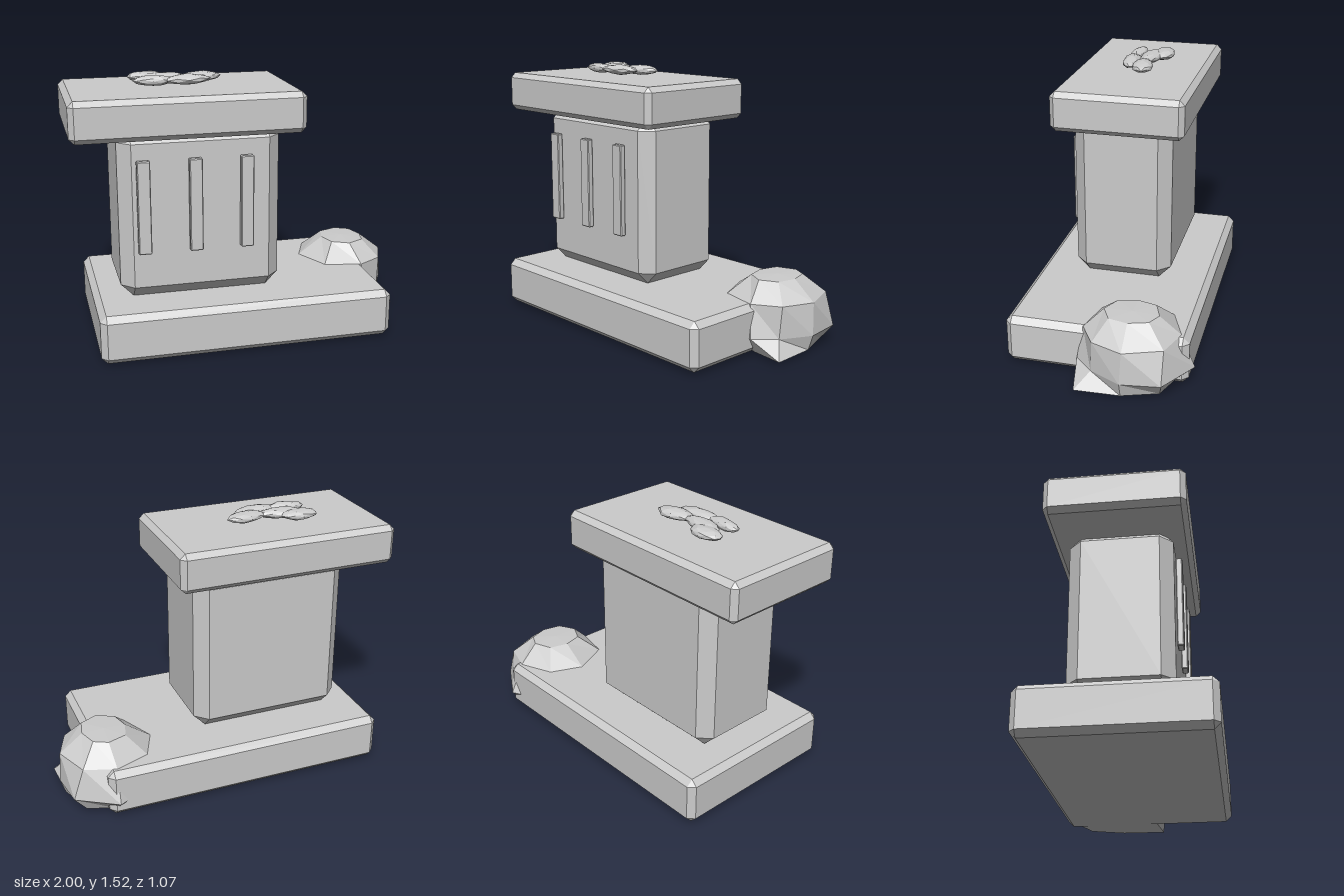
import * as THREE from 'three';
import { ConvexGeometry } from 'three/addons/geometries/ConvexGeometry.js';

const stone = new THREE.MeshStandardMaterial({ color: 0xcccccc, flatShading: true });

// Box between two corners with all edges chamfered by c
function chamferedBox(name, min, max, c) {
  const mid = min.map((v, i) => (v + max[i]) / 2);
  const half = min.map((v, i) => (max[i] - v) / 2);
  const points = [];
  for (const sx of [-1, 1]) for (const sy of [-1, 1]) for (const sz of [-1, 1]) {
    for (let axis = 0; axis < 3; axis++) {
      const p = [sx, sy, sz].map((s, i) => s * (half[i] - (i === axis ? 0 : c)));
      points.push(new THREE.Vector3(...p));
    }
  }
  const mesh = new THREE.Mesh(new ConvexGeometry(points), stone);
  mesh.position.set(...mid);
  mesh.name = name;
  return mesh;
}

// Faceted closed solid from horizontal rings listed top to bottom
function ringSolid(rings, topY, bottomY) {
  const n = rings[0].points.length;
  const pos = [];
  const index = [];
  let cx = 0, cz = 0;
  for (const { y, points } of rings) for (const [x, z] of points) pos.push(x, y, z);
  for (const [x, z] of rings[0].points) { cx += x / n; cz += z / n; }
  const top = rings.length * n;
  pos.push(cx, topY, cz, cx, bottomY, cz);
  const last = (rings.length - 1) * n;
  for (let j = 0; j < n; j++) {
    const k = (j + 1) % n;
    index.push(top, k, j, top + 1, last + j, last + k);
    for (let r = 0; r < last; r += n) {
      index.push(r + j, r + k, r + n + j, r + k, r + n + k, r + n + j);
    }
  }
  const geo = new THREE.BufferGeometry();
  geo.setAttribute('position', new THREE.Float32BufferAttribute(pos, 3));
  geo.setIndex(index);
  const flat = geo.toNonIndexed();
  flat.computeVertexNormals();
  return flat;
}

// Flattened, slightly irregular pebble
function pebble(x, z, rx, rz, turn, seed) {
  const geo = new THREE.IcosahedronGeometry(1, 1);
  const p = geo.attributes.position;
  const v = new THREE.Vector3();
  for (let i = 0; i < p.count; i++) {
    v.fromBufferAttribute(p, i);
    v.multiplyScalar(0.95 + 0.09 * Math.sin(v.x * 5 + seed) * Math.cos(v.z * 4 + seed * 2));
    p.setXYZ(i, v.x, v.y, v.z);
  }
  geo.computeVertexNormals();
  const mesh = new THREE.Mesh(geo, stone);
  mesh.scale.set(rx, 0.031, rz);
  mesh.rotation.y = turn;
  mesh.position.set(x, 1.49, z);
  mesh.name = 'pebble';
  return mesh;
}

export function createModel() {
  const model = new THREE.Group();
  model.name = 'stonePedestal';

  // Base, column and top slab
  model.add(
    chamferedBox('base', [-0.89, 0.01, -0.51], [0.79, 0.29, 0.53], 0.035),
    chamferedBox('column', [-0.74, 0.29, -0.27], [0.18, 1.26, 0.305], 0.072),
    chamferedBox('topSlab', [-1, 1.22, -0.365], [0.3, 1.45, 0.4], 0.03)
  );

  // Upright ribs on the front of the column
  for (const x of [-0.608, -0.318, -0.027]) {
    model.add(chamferedBox('frontRib', [x - 0.037, 0.57, 0.312], [x + 0.037, 1.1, 0.348], 0.005));
  }

  // Boulder resting against the base
  const rings = [
    { y: 0.395, points: [[0.855, -0.19], [0.83, -0.08], [0.73, -0.03], [0.63, -0.08], [0.6, -0.19], [0.63, -0.3], [0.74, -0.34], [0.82, -0.3]] },
    { y: 0.29, points: [[0.99, -0.19], [0.92, -0.01], [0.77, 0.08], [0.55, 0.03], [0.45, -0.19], [0.53, -0.38], [0.73, -0.46], [0.91, -0.4]] },
    { y: 0.105, points: [[1, -0.18], [0.91, 0], [0.8, 0.11], [0.55, 0.05], [0.46, -0.19], [0.53, -0.42], [0.74, -0.54], [0.97, -0.4]] },
    { y: 0.015, points: [[0.97, -0.18], [0.98, 0.08], [0.79, 0.06], [0.6, 0], [0.5, -0.19], [0.57, -0.36], [0.74, -0.44], [0.9, -0.38]] }
  ];
  const boulder = new THREE.Mesh(ringSolid(rings, 0.4, 0), stone);
  boulder.name = 'boulder';
  model.add(boulder);

  // Cluster of flat pebbles on the slab
  const pebbles = new THREE.Group();
  pebbles.name = 'pebbleCluster';
  [
    [-0.52, -0.085, 0.115, 0.065, 0],
    [-0.43, -0.02, 0.14, 0.06, -0.1],
    [-0.22, -0.015, 0.125, 0.065, 0.15],
    [-0.5, 0.07, 0.12, 0.045, -0.1],
    [-0.31, 0.07, 0.14, 0.055, 0.1]
  ].forEach((d, i) => pebbles.add(pebble(...d, i + 1)));
  model.add(pebbles);

  return model;
}
